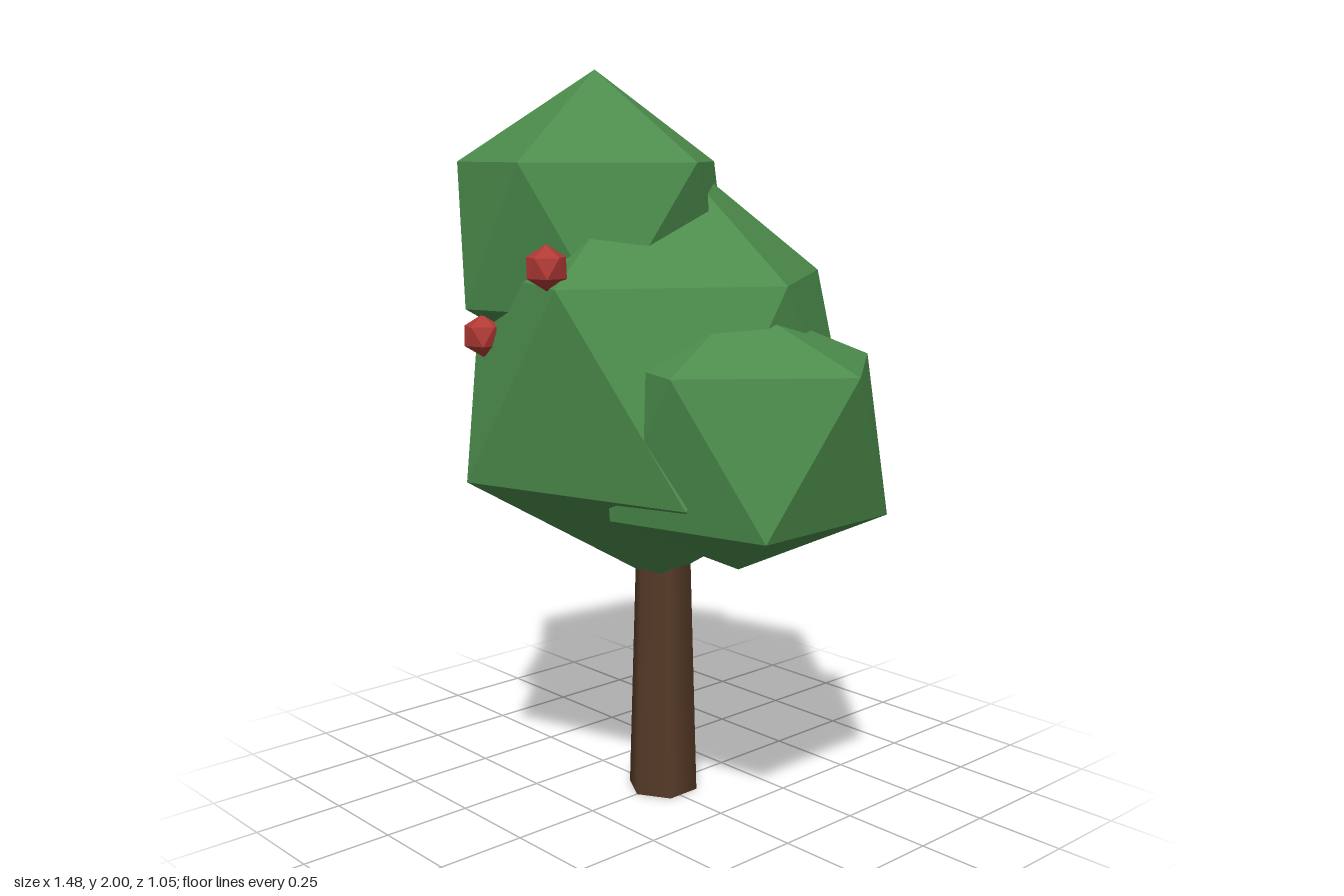
import * as THREE from 'three';

const leafGreen = new THREE.MeshStandardMaterial({ color: 0x4c8c4c });
leafGreen.name = 'leaf green';
const barkBrown = new THREE.MeshStandardMaterial({ color: 0x573b28 });
barkBrown.name = 'bark brown';
const berryRed = new THREE.MeshStandardMaterial({ color: 0xb03a36 });
berryRed.name = 'berry red';

// Twenty-faced lump: two poles and two staggered rings of five,
// where each ring corner has its own distance from the axis.
function lumpGeometry({ top, bottom, ring, upper, lower }) {
  const points = [0, top, 0];
  const addRing = (radii, y, offset) => radii.forEach((r, k) => {
    const a = (k + offset) * Math.PI * 2 / 5;
    points.push(r * Math.cos(a), y, r * Math.sin(a));
  });
  addRing(upper, ring, 0);
  addRing(lower, -ring, 0.5);
  points.push(0, -bottom, 0);

  const index = [];
  for (let k = 0; k < 5; k++) {
    const n = (k + 1) % 5;
    const u0 = 1 + k, u1 = 1 + n, l0 = 6 + k, l1 = 6 + n;
    index.push(0, u1, u0, u0, u1, l0, l0, u1, l1, l0, l1, 11);
  }
  const indexed = new THREE.BufferGeometry();
  indexed.setAttribute('position', new THREE.Float32BufferAttribute(points, 3));
  indexed.setIndex(index);
  // Unshared corners give every facet its own flat normal
  const geometry = indexed.toNonIndexed();
  geometry.computeVertexNormals();
  return geometry;
}

function addPart(group, name, geometry, material, position) {
  const mesh = new THREE.Mesh(geometry, material);
  mesh.name = name;
  mesh.position.set(...position);
  group.add(mesh);
}

export function createModel() {
  const tree = new THREE.Group();
  tree.name = 'berryTree';

  // Six-sided tapering trunk, running up into the leaves
  addPart(tree, 'trunk', new THREE.CylinderGeometry(0.076, 0.1, 0.8, 6), barkBrown, [0, 0.4, -0.014]);

  // Leaf masses
  const foliage = [
    { name: 'mainFoliage', at: [0, 1.2, 0], top: 0.62, bottom: 0.59, ring: 0.26,
      upper: [0.47, 0.51, 0.5, 0.55, 0.49], lower: [0.57, 0.55, 0.52, 0.555, 0.54] },
    { name: 'topFoliage', at: [-0.145, 1.57, 0.1], top: 0.43, bottom: 0.41, ring: 0.19,
      upper: [0.395, 0.365, 0.388, 0.33, 0.355], lower: [0.38, 0.37, 0.345, 0.355, 0.37] },
    { name: 'leftFoliage', at: [0.345, 1.075, 0.037], top: 0.34, bottom: 0.355, ring: 0.19,
      upper: [0.395, 0.366, 0.37, 0.37, 0.376], lower: [0.39, 0.36, 0.37, 0.36, 0.378] },
    { name: 'rightFoliage', at: [-0.353, 1.04, -0.1], top: 0.37, bottom: 0.37, ring: 0.19,
      upper: [0.37, 0.37, 0.33, 0.395, 0.37], lower: [0.37, 0.395, 0.39, 0.382, 0.37] },
  ];
  for (const part of foliage) addPart(tree, part.name, lumpGeometry(part), leafGreen, part.at);

  // Berries, sharing one regular lump
  const r = 0.057;
  const ringRadii = Array(5).fill(r * 0.894);
  const berry = lumpGeometry({ top: r, bottom: r, ring: r * 0.447, upper: ringRadii, lower: ringRadii });
  addPart(tree, 'upperBerry', berry, berryRed, [0.115, 1.51, 0.475]);
  addPart(tree, 'lowerBerry', berry, berryRed, [-0.235, 1.31, 0.415]);

  return tree;
}
